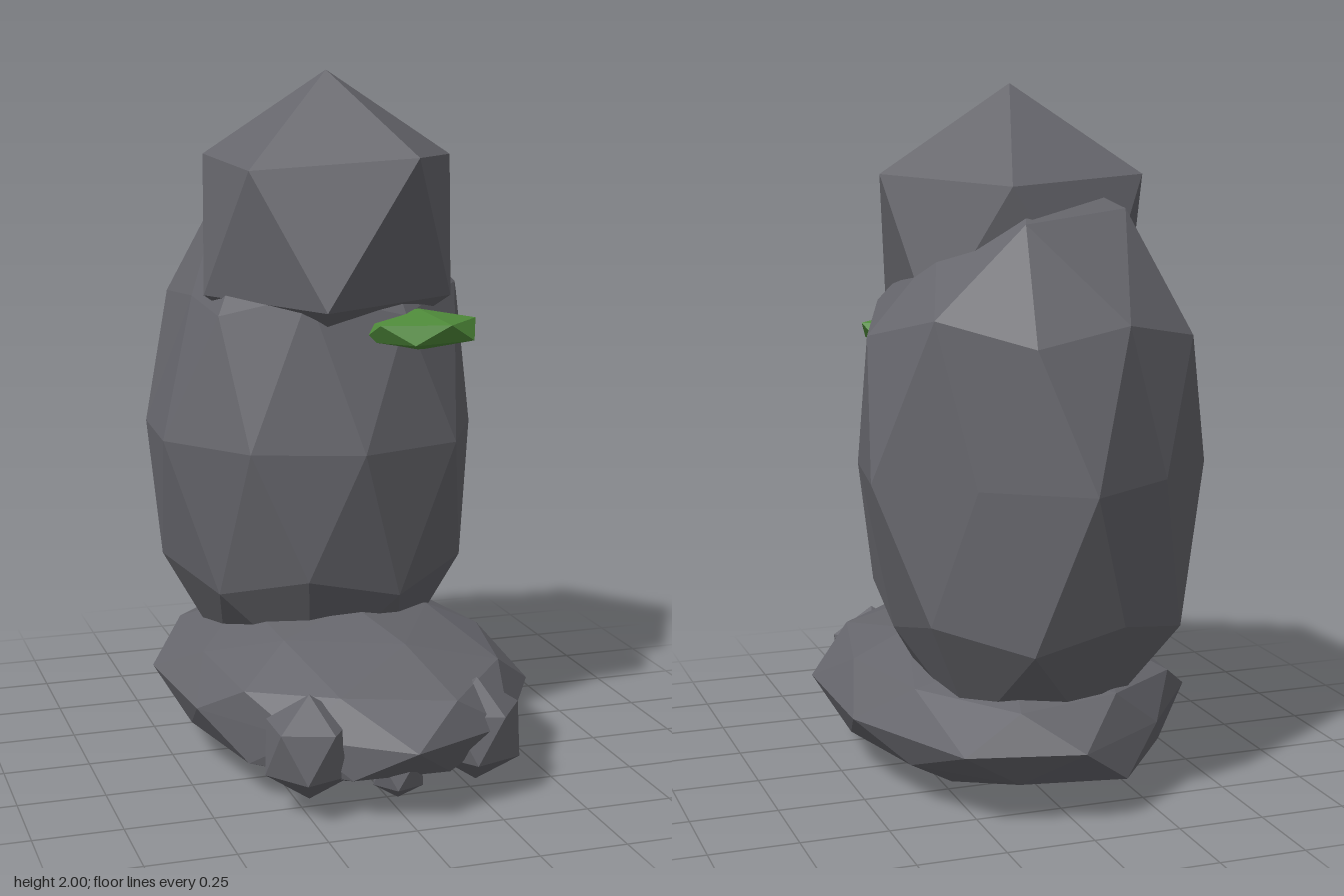
import * as THREE from 'three';

const stone = new THREE.MeshStandardMaterial({ name: 'greyStone', color: 0x66666c, flatShading: true });
const moss = new THREE.MeshStandardMaterial({ name: 'mossGreen', color: 0x4f8a3a, flatShading: true });

// Faceted stone with its poles on y; each nudge point pulls the nearest corner onto itself
function rock(name, material, detail, radii, centre, nudges = []) {
  const geo = new THREE.IcosahedronGeometry(1, detail);
  geo.rotateX(-Math.atan((1 + Math.sqrt(5)) / 2)); // one corner to the top
  geo.rotateY(Math.PI / 2); // upper ring starts at +x
  geo.scale(...radii);
  geo.translate(...centre);
  const pos = geo.attributes.position;
  const p = new THREE.Vector3();
  for (const n of nudges) {
    const target = new THREE.Vector3(...n);
    const near = new THREE.Vector3();
    let best = Infinity;
    for (let i = 0; i < pos.count; i++) {
      const d = p.fromBufferAttribute(pos, i).distanceTo(target);
      if (d < best) { best = d; near.copy(p); }
    }
    for (let i = 0; i < pos.count; i++) {
      if (p.fromBufferAttribute(pos, i).distanceTo(near) < 1e-4) pos.setXYZ(i, ...n);
    }
  }
  geo.computeVertexNormals();
  const mesh = new THREE.Mesh(geo, material);
  mesh.name = name;
  return mesh;
}

export function createModel() {
  const group = new THREE.Group();
  group.name = 'stackedStones';

  // Wide flat stone at the bottom
  group.add(rock('baseStone', stone, 1, [0.54, 0.22, 0.725], [0, 0.22, 0.035], [
    // top and upper ring
    [0.02, 0.45, 0.12], [0.45, 0.33, 0.03], [-0.41, 0.32, 0.03], [-0.38, 0.31, 0.38], [-0.16, 0.33, 0.57],
    // widest ring
    [-0.48, 0.22, 0.23], [0.52, 0.22, 0.26], [-0.27, 0.22, 0.56], [0.32, 0.22, -0.61], [-0.29, 0.22, -0.5],
    // flattened underside
    [-0.45, 0.11, 0.04], [-0.15, 0.11, -0.62], [-0.28, 0.015, 0.035], [0.23, 0.01, -0.22],
    [0.23, 0.015, 0.26], [-0.09, 0.02, 0.4],
  ]));

  // Tall middle stone
  group.add(rock('bodyStone', stone, 1, [0.525, 0.85, 0.535], [0, 0.94, -0.225], [
    // shoulders
    [0.27, 1.55, -0.23], [0.09, 1.63, -0.45], [-0.22, 1.58, -0.08],
    [-0.37, 1.34, -0.22], [-0.35, 1.31, 0.02], [0.13, 1.32, -0.65], [-0.14, 1.37, -0.63],
    // widest ring
    [-0.27, 0.94, -0.59], [-0.48, 0.94, -0.38], [0.51, 0.94, -0.39], [0.27, 0.94, -0.58], [0.46, 0.94, -0.08],
    // lower ring
    [0.4, 0.49, -0.22], [-0.13, 0.55, -0.64],
  ]));

  // Coarse top stone
  group.add(rock('headStone', stone, 0, [0.43, 0.45, 0.44], [0, 1.55, -0.07], [
    [0.14, 1.77, 0.345], [-0.29, 1.73, 0.14], [0.12, 1.73, -0.43],
    [-0.37, 1.36, -0.07], [-0.11, 1.345, 0.3], [0.3, 1.365, 0.17],
  ]));

  // Small stones at the front foot
  for (const [name, x] of [['leftPebble', 0.25], ['rightPebble', -0.24]]) {
    group.add(rock(name, stone, 0, [0.14, 0.15, 0.14], [x, 0.19, 0.54]));
  }
  group.add(rock('middlePebble', stone, 0, [0.08, 0.08, 0.08], [0, 0.115, 0.59]));

  // Patch of moss under the top stone
  group.add(rock('mossPatch', moss, 0, [0.195, 0.06, 0.15], [0.19, 1.275, 0.205]));

  return group;
}
